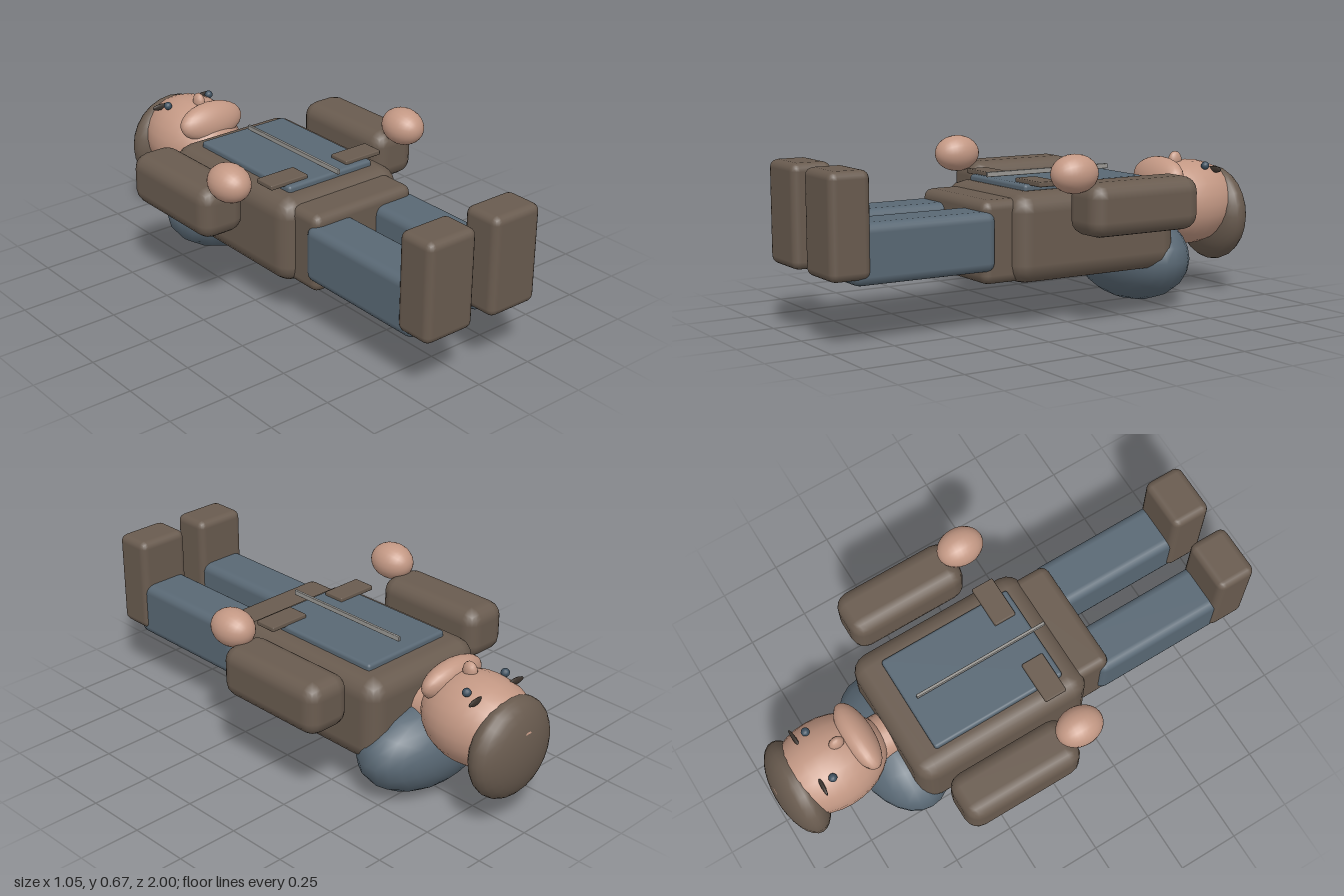
import * as THREE from 'three';
import { RoundedBoxGeometry } from 'three/addons/geometries/RoundedBoxGeometry.js';

const mat = (name, color) => new THREE.MeshStandardMaterial({ name, color });

export function createModel() {
  const brown = mat('brownCloth', 0x695b4f);
  const blue = mat('blueCloth', 0x596874);
  const skin = mat('skin', 0xc39884);
  const eyeMat = mat('eyeBlue', 0x3f5160);
  const browMat = mat('browDark', 0x3a322c);
  const metal = mat('zipMetal', 0x9a9894);

  const model = new THREE.Group();
  model.name = 'lyingFigure';
  // Built standing (y towards the head, z out of the chest), then laid on its back.
  const body = new THREE.Group();
  body.name = 'body';
  body.rotation.x = -Math.PI / 2;
  model.add(body);

  const add = (name, geometry, material, x, y, z) => {
    const mesh = new THREE.Mesh(geometry, material);
    mesh.name = name;
    mesh.position.set(x, y, z);
    body.add(mesh);
    return mesh;
  };
  // Rounded box from its limits on each axis.
  const box = (name, material, [x0, x1], [y0, y1], [z0, z1], r, seg = 2) =>
    add(name, new RoundedBoxGeometry(x1 - x0, y1 - y0, z1 - z0, seg, r), material,
      (x0 + x1) / 2, (y0 + y1) / 2, (z0 + z1) / 2);
  const ball = (name, material, x, y, z, rx, ry, rz, w = 24, h = 16) => {
    const mesh = add(name, new THREE.SphereGeometry(1, w, h), material, x, y, z);
    mesh.scale.set(rx, ry, rz);
    return mesh;
  };

  // Coat
  box('torso', brown, [-0.29, 0.29], [-0.25, 0.507], [0.168, 0.517], 0.075);
  box('hips', brown, [-0.24, 0.24], [-0.365, -0.15], [0.177, 0.495], 0.035);
  box('frontPanel', blue, [-0.205, 0.205], [-0.165, 0.4], [0.5, 0.54], 0.012);
  box('zip', metal, [-0.006, 0.006], [-0.21, 0.36], [0.551, 0.571], 0.003, 1);
  ball('hood', blue, 0, 0.487, 0.19, 0.305, 0.187, 0.187, 20, 14);

  // Head
  add('neck', new THREE.CylinderGeometry(0.09, 0.09, 0.14, 20), skin, 0, 0.54, 0.35);
  ball('head', skin, 0, 0.76, 0.387, 0.182, 0.235, 0.178);
  ball('cap', brown, 0, 0.907, 0.33, 0.2, 0.094, 0.2);
  ball('nose', skin, 0, 0.708, 0.563, 0.022, 0.031, 0.038, 14, 10);
  const beard = ball('beard', skin, 0, 0.622, 0.505, 0.15, 0.06, 0.08);
  beard.rotation.x = -0.35;

  // Paired parts
  for (const s of [-1, 1]) {
    const side = s > 0 ? 'left' : 'right';
    const span = (a, b) => (s > 0 ? [a, b] : [-b, -a]);
    ball(side + 'Eye', eyeMat, s * 0.105, 0.785, 0.545, 0.017, 0.017, 0.017, 12, 8);
    const brow = ball(side + 'Brow', browMat, s * 0.108, 0.832, 0.527, 0.042, 0.008, 0.014, 12, 8);
    brow.rotation.z = s * 0.06;
    box(side + 'Pocket', brown, span(0.095, 0.27), [-0.14, -0.047], [0.535, 0.555], 0.005, 1);
    box(side + 'Arm', brown, span(0.328, 0.527), [-0.065, 0.435], [0.36, 0.567], 0.06);
    ball(side + 'Hand', skin, s * 0.43, -0.092, 0.6, 0.076, 0.095, 0.074);
    box(side + 'Leg', blue, span(0.055, 0.257), [-0.905, -0.315], [0.228, 0.455], 0.035);
    box(side + 'Foot', brown, span(0.043, 0.267), [-1, -0.838], [0.253, 0.646], 0.03);
  }
  return model;
}
